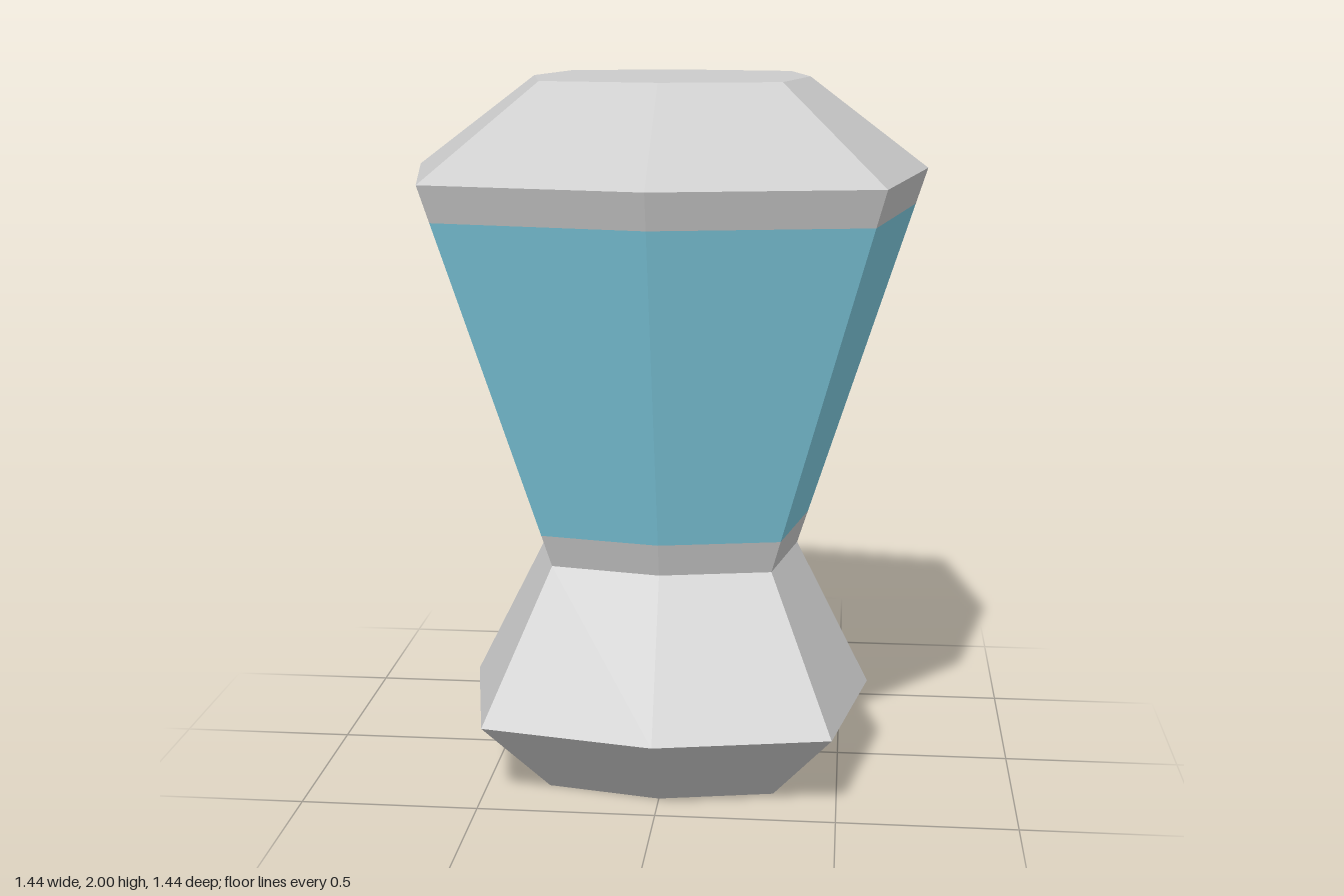
import * as THREE from 'three';

// Corner points reach further out than the side midpoints, giving a bulged square section.
const CORNER = 0.833 * Math.SQRT2;

const grey = new THREE.MeshStandardMaterial({ color: 0xcccccc, flatShading: true });
const blue = new THREE.MeshStandardMaterial({ color: 0x80cde2, flatShading: true });

// Eight-sided ring surface through [radius, height] points, bottom to top
function facetedBand(name, profile, material) {
  const points = profile.map(([r, y]) => new THREE.Vector2(r, y));
  const geometry = new THREE.LatheGeometry(points, 8);
  const pos = geometry.attributes.position;
  for (let i = 0; i < pos.count; i++) {
    const column = Math.floor(i / points.length);
    if (column % 2 === 1) {
      pos.setX(i, pos.getX(i) * CORNER);
      pos.setZ(i, pos.getZ(i) * CORNER);
    }
  }
  geometry.computeVertexNormals();
  const mesh = new THREE.Mesh(geometry, material);
  mesh.name = name;
  return mesh;
}

export function createModel() {
  const model = new THREE.Group();
  model.name = 'facetedLantern';

  const waist = [0.37, 0.655];
  const shoulder = [0.72, 1.75];
  // Point on the straight flared wall at a given height
  const wallAt = (y) => {
    const t = (y - waist[1]) / (shoulder[1] - waist[1]);
    return [THREE.MathUtils.lerp(waist[0], shoulder[0], t), y];
  };

  model.add(
    facetedBand('base', [[0, 0], [0.385, 0], [0.583, 0.232], waist], grey),
    facetedBand('lowerRim', [waist, wallAt(0.75)], grey),
    facetedBand('bluePanels', [wallAt(0.75), wallAt(1.65)], blue),
    facetedBand('upperRim', [wallAt(1.65), shoulder], grey),
    facetedBand('cap', [shoulder, [0.388, 2], [0, 2]], grey)
  );
  return model;
}
